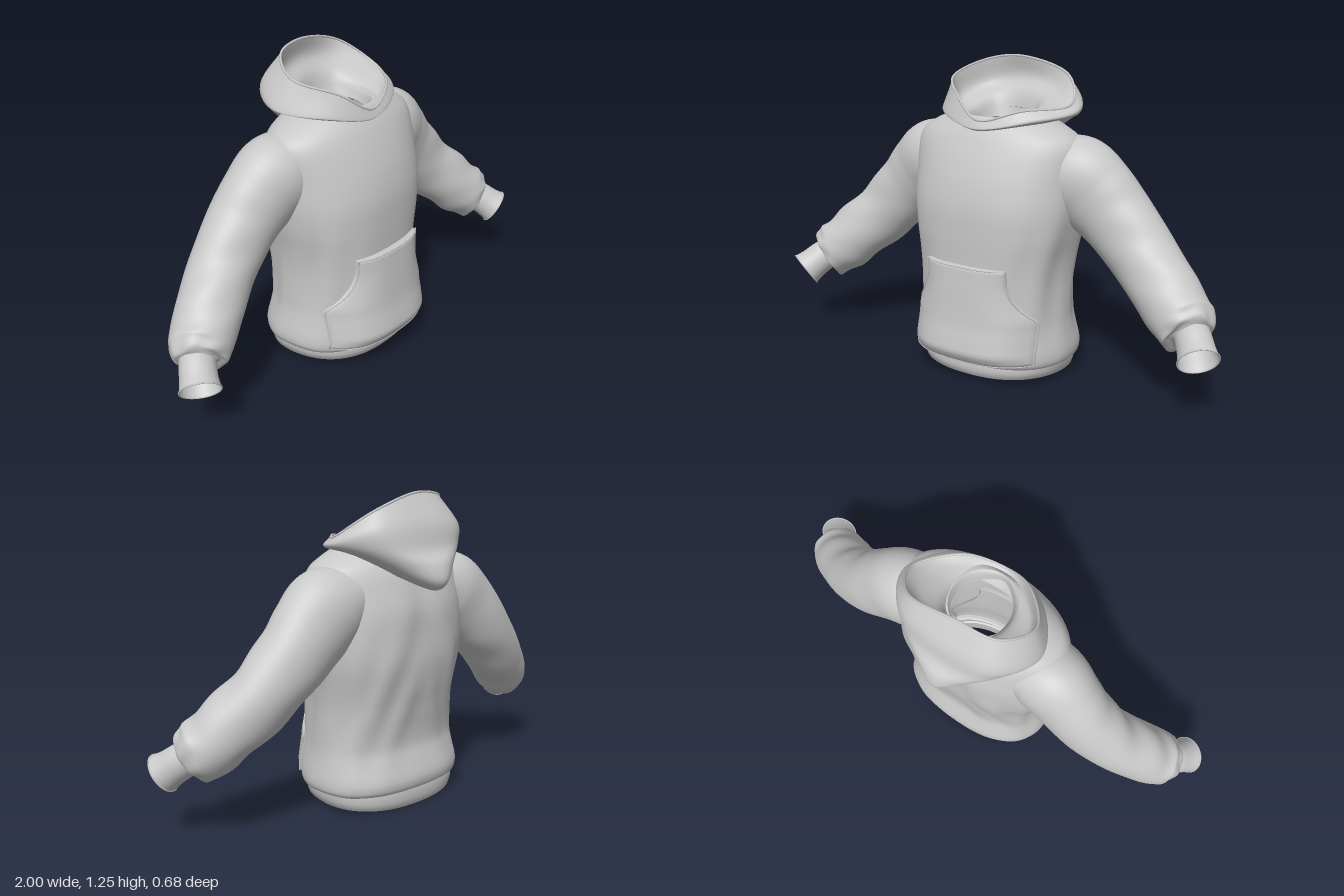
import * as THREE from 'three';

const V = (x, y, z) => new THREE.Vector3(x, y, z);
const { lerp, clamp, smoothstep } = THREE.MathUtils;
const bump = (v, c, w) => Math.exp(-(((v - c) / w) ** 2));

// Skin a list of point rows; closed rows wrap round.
function loft(rows, closed = true) {
  const n = rows[0].length, pos = [], idx = [];
  rows.forEach(r => r.forEach(p => pos.push(p.x, p.y, p.z)));
  for (let i = 0; i < rows.length - 1; i++) {
    for (let j = 0; j < (closed ? n : n - 1); j++) {
      const k = (j + 1) % n, a = i * n + j, b = i * n + k, c = a + n, d = b + n;
      idx.push(a, b, c, b, d, c);
    }
  }
  const g = new THREE.BufferGeometry();
  g.setAttribute('position', new THREE.Float32BufferAttribute(pos, 3));
  g.setIndex(idx);
  g.computeVertexNormals();
  return g;
}

// Smooth curve samples through points.
function sample(pts, n, closed = false) {
  const c = new THREE.CatmullRomCurve3(pts, closed, 'catmullrom', 0.5);
  return Array.from({ length: n }, (_, i) => c.getPoint(i / (closed ? n : n - 1)));
}

// Torso profile: height, half width, front depth, back depth.
const BODY = [
  [0.065, 0.312, 0.25, 0.205], [0.075, 0.332, 0.272, 0.22], [0.12, 0.336, 0.28, 0.226],
  [0.18, 0.325, 0.277, 0.208], [0.25, 0.315, 0.27, 0.19], [0.4, 0.312, 0.27, 0.207],
  [0.5, 0.322, 0.27, 0.225], [0.6, 0.342, 0.271, 0.24], [0.7, 0.357, 0.268, 0.242],
  [0.8, 0.362, 0.249, 0.238], [0.88, 0.365, 0.222, 0.216], [0.93, 0.36, 0.2, 0.198],
  [0.965, 0.34, 0.183, 0.182], [0.99, 0.3, 0.168, 0.168], [1.015, 0.25, 0.152, 0.155],
  [1.035, 0.19, 0.138, 0.145], [1.04, 0.13, 0.13, 0.135],
];
function bodyAt(y) {
  let i = 0;
  while (i < BODY.length - 2 && y > BODY[i + 1][0]) i++;
  const a = BODY[i], b = BODY[i + 1], h = b[0] - a[0], t = clamp((y - a[0]) / h, 0, 1);
  const p = BODY[Math.max(i - 1, 0)], q = BODY[Math.min(i + 2, BODY.length - 1)];
  return [1, 2, 3].map(k => {
    const ma = (b[k] - p[k]) / (b[0] - p[0]) * h, mb = (q[k] - a[k]) / (q[0] - a[0]) * h;
    return a[k] * (1 + 2 * t) * (1 - t) ** 2 + b[k] * t * t * (3 - 2 * t)
      + ma * t * (1 - t) ** 2 - mb * t * t * (1 - t);
  });
}
// Boxy at the hem, rounder at the chest.
const powAt = y => lerp(2.5, 2.05, smoothstep(y, 0.5, 0.9));
function superRing(y, [w, f, b], n, fold = () => 0) {
  const e = 2 / powAt(y);
  return Array.from({ length: n }, (_, j) => {
    const a = j / n * Math.PI * 2, c = Math.cos(a), s = Math.sin(a);
    const m = 1 + fold(a, y);
    return V(Math.sign(c) * Math.abs(c) ** e * w * m, y, Math.sign(s) * Math.abs(s) ** e * (s > 0 ? f : b) * m);
  });
}
// Soft drape: spine hollow, diagonal pulls at the back, vertical side folds.
function drape(a, y) {
  const s = Math.sin(a), c = Math.cos(a), back = Math.max(0, -s);
  const spine = -0.06 * back * bump(c, 0, 0.18) * bump(y, 0.75, 0.25);
  const pulls = 0.025 * back * Math.sin(14 * Math.abs(c) + 14 * y) * bump(y, 0.45, 0.22);
  const sides = 0.02 * c * c * Math.sin(10 * a + 5 * y) * bump(y, 0.4, 0.25);
  return spine + pulls + sides;
}

// Sleeve and cuff stations: centre x, y, z, in-plane radius, depth radius.
const SLEEVE = [
  [0.2, 0.865, -0.03, 0.11, 0.13], [0.32, 0.815, -0.035, 0.167, 0.145], [0.41, 0.745, -0.045, 0.165, 0.132],
  [0.5, 0.66, -0.05, 0.148, 0.126], [0.62, 0.54, -0.03, 0.135, 0.122], [0.74, 0.43, 0.02, 0.127, 0.122],
  [0.82, 0.36, 0.06, 0.12, 0.117], [0.862, 0.333, 0.085, 0.106, 0.1], [0.876, 0.322, 0.097, 0.062, 0.062],
];
const CUFF = [
  [0.855, 0.345, 0.075, 0.062, 0.062], [0.885, 0.315, 0.11, 0.068, 0.066],
  [0.91, 0.287, 0.142, 0.07, 0.068], [0.93, 0.264, 0.17, 0.077, 0.074],
];
function tubeRings(keys, rows, n, wrinkle) {
  const mids = sample(keys.map(k => V(k[0], k[1], k[2])), rows);
  const radii = sample(keys.map(k => V(k[3], k[4], 0)), rows);
  return mids.map((p, i) => {
    const t = mids[Math.min(i + 1, rows - 1)].clone().sub(mids[Math.max(i - 1, 0)]).normalize();
    const A = V(0, 0, 1).addScaledVector(t, -t.z).normalize(), B = t.clone().cross(A);
    return Array.from({ length: n }, (_, j) => {
      const a = j / n * Math.PI * 2, m = 1 + wrinkle(i / (rows - 1), a);
      return p.clone().addScaledVector(A, Math.cos(a) * radii[i].y * m)
        .addScaledVector(B, Math.sin(a) * radii[i].x * m);
    });
  });
}
// Cross folds along the sleeve and gathers above the cuff.
const creases = (u, a) =>
  0.04 * Math.sin(u * 36 + 2.4 * Math.sin(a + 0.6)) * (0.4 + 0.6 * Math.cos(a * 2 + u * 4)) * smoothstep(u, 0.25, 0.55)
  + 0.05 * Math.sin(a * 7 + u * 5) * bump(u, 0.92, 0.1);

// Hood ring from five left-half points, front to back; the right half mirrors unless given.
function hoodRing(left, right = left.slice(1, 4).map(([x, y, z]) => [-x * 0.93, y, z])) {
  return sample([...left, ...right.slice().reverse()].map(p => V(...p)), 72, true);
}
function smoothRows(rings, rows) {
  const cols = rings[0].map((_, j) => sample(rings.map(r => r[j]), rows));
  return Array.from({ length: rows }, (_, i) => cols.map(c => c[i]));
}

// Kangaroo pocket outline and surface.
const P_TOP = 0.48, P_BOT = 0.1;
const pocketW = y => 0.18 + 0.1 * clamp((0.44 - y) / 0.17, 0, 1) ** 2;
function pocketPoint(x, y, lift) {
  const [w, f] = bodyAt(y), e = powAt(y);
  return V(x, y, f * (1 - Math.min(1, Math.abs(x) / w) ** e) ** (1 / e) + lift);
}
const pocketPuff = (u, v) => 0.015 + 0.048 * (1 - u ** 4) * (0.3 + 0.7 * (1 - v)) * Math.min(1, 0.5 + v * 5);

export function createModel() {
  const cloth = new THREE.MeshStandardMaterial({ color: 0xc8c8c8, side: THREE.DoubleSide });
  cloth.name = 'light grey cloth';
  const model = new THREE.Group();
  model.name = 'hoodedSweatshirt';
  const add = (name, geo, parent = model) => {
    const m = new THREE.Mesh(geo, cloth);
    m.name = name;
    parent.add(m);
  };
  const seam = (name, pts, r, closed = false, parent = model) => add(name,
    new THREE.TubeGeometry(new THREE.CatmullRomCurve3(pts, closed), pts.length * 2, r, 6, closed), parent);

  // Torso
  const heights = [];
  BODY.forEach(([y], i) => {
    if (!i) return heights.push(y);
    const y0 = BODY[i - 1][0], k = Math.ceil((y - y0) / 0.02);
    for (let j = 1; j <= k; j++) heights.push(lerp(y0, y, j / k));
  });
  add('torso', loft(heights.map(y => superRing(y, bodyAt(y), 96, drape))));

  // Waistband, a little higher at the front
  const band = [[0.1, 0.316, 0.254, 0.208], [0.06, 0.318, 0.264, 0.214], [0.03, 0.314, 0.264, 0.214],
    [0, 0.306, 0.258, 0.207], [0.005, 0.297, 0.25, 0.199], [0.09, 0.3, 0.245, 0.195]];
  add('waistband', loft(band.map(([y, ...r]) => superRing(y, r, 96).map(p => {
    p.y += (0.02 * Math.max(0, p.z / 0.26) + 0.018 * (p.x / 0.31) ** 2) * (1 - y * 8);
    return p;
  }))));

  // Sleeves and cuffs
  for (const side of [1, -1]) {
    const arm = new THREE.Group();
    arm.name = side > 0 ? 'leftArm' : 'rightArm';
    const place = rings => rings.map(r => r.map(p => V(p.x * side, p.y, p.z)));
    add('sleeve', loft(place(tubeRings(SLEEVE, 64, 44, creases))), arm);
    const cuff = place(tubeRings(CUFF, 10, 40, () => 0));
    add('cuff', loft(cuff), arm);
    seam('cuffEdge', cuff[9], 0.003, true, arm);
    model.add(arm);
  }

  // Hood: the left side of the rim sags lower than the right
  const rim = hoodRing(
    [[0, 1.03, 0.163], [0.16, 1.07, 0.105], [0.285, 1.085, -0.045], [0.2, 1.185, -0.175], [0, 1.24, -0.178]],
    [[-0.13, 1.11, 0.11], [-0.235, 1.165, -0.02], [-0.16, 1.222, -0.15]]);
  add('hoodShell', loft(smoothRows([
    rim,
    hoodRing([[0, 1.0, 0.176], [0.2, 1.04, 0.11], [0.312, 1.065, -0.06], [0.215, 1.12, -0.215], [0, 1.13, -0.25]]),
    hoodRing([[0, 0.995, 0.174], [0.2, 1.025, 0.105], [0.305, 1.045, -0.06], [0.2, 1.05, -0.235], [0, 1.035, -0.28]]),
    hoodRing([[0, 0.99, 0.168], [0.18, 1.015, 0.09], [0.27, 1.03, -0.06], [0.16, 0.99, -0.25], [0, 0.985, -0.325]]),
    hoodRing([[0, 0.985, 0.155], [0.17, 1.01, 0.08], [0.23, 1.02, -0.05], [0.13, 0.95, -0.235], [0, 0.915, -0.34]]),
    hoodRing([[0, 0.98, 0.14], [0.16, 1.0, 0.07], [0.2, 1.01, -0.05], [0.1, 0.93, -0.2], [0, 0.88, -0.29]]),
    hoodRing([[0, 0.97, 0.1], [0.12, 0.99, 0.06], [0.16, 0.99, -0.04], [0.1, 0.94, -0.15], [0, 0.92, -0.18]]),
  ], 36)));
  add('hoodLining', loft(smoothRows([
    rim,
    hoodRing([[0, 1.02, 0.145], [0.15, 1.05, 0.08], [0.23, 1.08, -0.04], [0.16, 1.13, -0.16], [0, 1.16, -0.19]]),
    hoodRing([[0, 1.01, 0.135], [0.11, 1.03, 0.07], [0.145, 1.05, -0.02], [0.11, 1.08, -0.12], [0, 1.09, -0.15]]),
    hoodRing([[0, 0.97, 0.13], [0.08, 0.98, 0.08], [0.115, 0.99, 0], [0.09, 1.0, -0.09], [0, 1.0, -0.13]]),
  ], 18)));
  seam('hoodRim', rim, 0.005, true);

  // Front pocket with closed edges
  const rows = [];
  const N = 28, M = 36;
  for (let i = -1; i <= N + 1; i++) {
    const v = clamp(i / N, 0, 1), y = lerp(P_BOT, P_TOP, v), row = [];
    for (let j = -1; j <= M + 1; j++) {
      const u = clamp(j / M, 0, 1) * 2 - 1;
      const edge = i < 0 || i > N || j < 0 || j > M;
      row.push(pocketPoint(u * pocketW(y), y, edge ? -0.015 : pocketPuff(u, v)));
    }
    rows.push(row);
  }
  add('pocket', loft(rows, false));

  // Pocket hems
  const hemAt = (u, v) => {
    const y = lerp(P_BOT, P_TOP, v);
    return pocketPoint(u * pocketW(y), y, pocketPuff(u, v));
  };
  const steps = Array.from({ length: 13 }, (_, i) => i / 12);
  seam('pocketTopHem', steps.map(t => hemAt(t * 2 - 1, 1)), 0.003);
  seam('pocketBottomHem', steps.map(t => hemAt(t * 2 - 1, 0)), 0.003);
  for (const s of [1, -1]) seam('pocketSideHem', steps.map(t => hemAt(s, t)), 0.003);

  return model;
}
